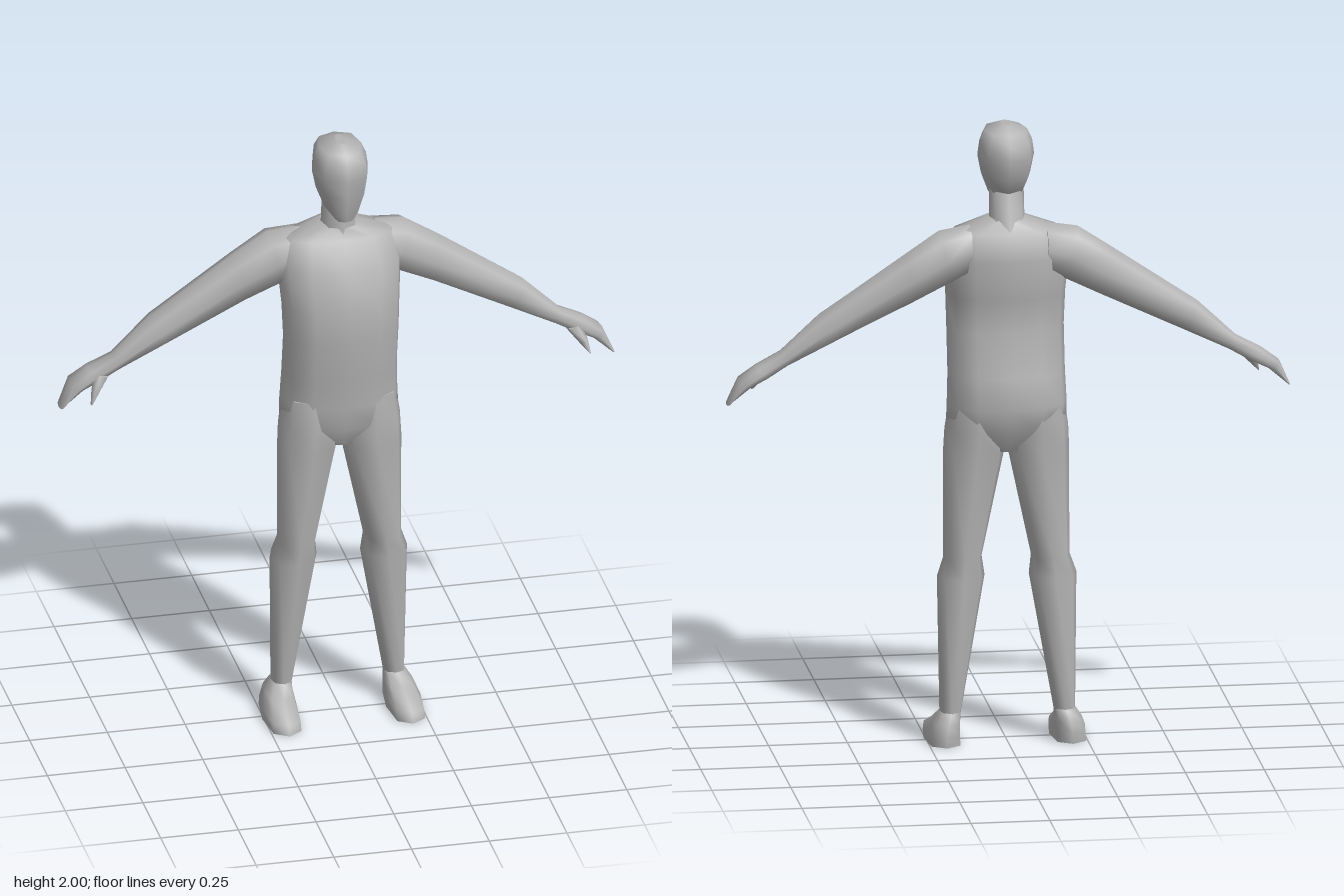
import * as THREE from 'three';

const skin = new THREE.MeshStandardMaterial({ color: 0xb4b4b4 });
skin.name = 'plain grey';
const V = (x, y, z) => new THREE.Vector3(x, y, z);

// Closed loop of n points around a centre; power below 1 makes it squarer
function ring(c, u, v, n, power) {
  return Array.from({ length: n }, (_, i) => {
    const a = (i / n) * Math.PI * 2;
    const bulge = (t) => (Math.abs(t) < 1e-6 ? 0 : Math.sign(t) * Math.abs(t) ** power);
    return c.clone().addScaledVector(u, bulge(Math.cos(a))).addScaledVector(v, bulge(Math.sin(a)));
  });
}

// Horizontal loop from [y, xMin, xMax, zBack, zFront]
const level = (n, power) => ([y, x0, x1, z0, z1]) =>
  ring(V((x0 + x1) / 2, y, (z0 + z1) / 2), V((x1 - x0) / 2, 0, 0), V(0, 0, -(z1 - z0) / 2), n, power);

// Symmetric horizontal loop from [y, halfWidth, zBack, zFront]
const centred = (n, power) => ([y, w, z0, z1]) => level(n, power)([y, -w, w, z0, z1]);

// Sloping limb loop from [topX, topY, bottomX, bottomY, zBack, zFront]
const sloped = (n, power) => ([tx, ty, bx, by, z0, z1]) =>
  ring(V((tx + bx) / 2, (ty + by) / 2, (z0 + z1) / 2), V((tx - bx) / 2, (ty - by) / 2, 0), V(0, 0, (z1 - z0) / 2), n, power);

// Smooth skin over the loops with a flat cap at each end; side -1 mirrors in x
function loft(name, loops, side = 1) {
  const rings = loops.map((r) => {
    const m = r.map((p) => V(p.x * side, p.y, p.z));
    return side < 0 ? m.reverse() : m;
  });
  const n = rings[0].length;
  const pts = rings.flat();
  const index = [];
  for (let r = 0; r < rings.length - 1; r++) {
    for (let i = 0; i < n; i++) {
      const a = r * n + i, b = r * n + ((i + 1) % n);
      index.push(a, b, a + n, b, b + n, a + n);
    }
  }
  [rings[0], rings[rings.length - 1]].forEach((end, k) => {
    const base = pts.length;
    pts.push(...end);
    for (let i = 1; i < n - 1; i++) {
      if (k) index.push(base, base + i, base + i + 1);
      else index.push(base, base + i + 1, base + i);
    }
  });
  const geo = new THREE.BufferGeometry().setFromPoints(pts);
  geo.setIndex(index);
  geo.computeVertexNormals();
  const mesh = new THREE.Mesh(geo, skin);
  mesh.name = name;
  return mesh;
}

export function createModel() {
  const model = new THREE.Group();
  model.name = 'figure';

  // Torso from crotch to base of neck
  model.add(loft('torso', [
    [0.95, 0.06, -0.09, 0.05],
    [1.02, 0.192, -0.13, 0.085],
    [1.1, 0.19, -0.155, 0.093],
    [1.2, 0.186, -0.145, 0.105],
    [1.34, 0.186, -0.115, 0.125],
    [1.45, 0.19, -0.125, 0.125],
    [1.58, 0.2, -0.15, 0.1],
    [1.665, 0.18, -0.12, 0.045],
    [1.705, 0.056, -0.1, 0.035],
  ].map(centred(12, 0.85))));

  // Neck
  model.add(loft('neck', [
    [1.6, 0.09, -0.14, 0.05],
    [1.7, 0.056, -0.108, 0.038],
    [1.8, 0.055, -0.08, 0.035],
  ].map(centred(8, 0.85))));

  // Head from chin to crown
  model.add(loft('head', [
    [1.75, 0.028, 0.02, 0.082],
    [1.775, 0.053, -0.075, 0.09],
    [1.84, 0.078, -0.118, 0.102],
    [1.9, 0.09, -0.124, 0.105],
    [1.945, 0.084, -0.124, 0.105],
    [1.98, 0.068, -0.1, 0.08],
    [2.0, 0.015, -0.04, 0.03],
  ].map(centred(8, 0.8))));

  for (const side of [1, -1]) {
    const label = side > 0 ? 'left' : 'right';

    // Arm and hand in one skin
    model.add(loft(label + 'Arm', [
      [0.12, 1.685, 0.12, 1.53, -0.13, 0.03],
      [0.22, 1.672, 0.185, 1.5, -0.15, 0.025],
      [0.33, 1.6, 0.3, 1.445, -0.143, 0.005],
      [0.6, 1.415, 0.55, 1.325, -0.125, -0.005],
      [0.72, 1.3, 0.7, 1.252, -0.1, -0.022],
      [0.8, 1.258, 0.765, 1.215, -0.115, -0.02],
      [0.857, 1.215, 0.817, 1.193, -0.123, -0.015],
      [0.893, 1.132, 0.875, 1.145, -0.095, -0.03],
    ].map(sloped(8, 0.85)), side));

    // Thumb
    model.add(loft(label + 'Thumb', [
      [0.78, 1.25, 0.735, 1.235, -0.07, -0.015],
      [0.798, 1.205, 0.77, 1.195, -0.035, 0.005],
      [0.805, 1.162, 0.798, 1.165, -0.005, 0.014],
    ].map(sloped(6, 1)), side));

    // Leg, listed from ankle to hip
    model.add(loft(label + 'Leg', [
      [0.06, 0.15, 0.218, -0.095, 0.005],
      [0.1, 0.147, 0.215, -0.09, 0],
      [0.54, 0.07, 0.221, -0.113, 0.05],
      [0.6, 0.078, 0.2, -0.097, 0.054],
      [0.94, 0.006, 0.2, -0.115, 0.078],
      [1.02, 0.002, 0.196, -0.13, 0.084],
      [1.12, 0.02, 0.18, -0.13, 0.08],
    ].map(level(8, 0.85)), side));

    // Foot, listed from sole to ankle
    model.add(loft(label + 'Foot', [
      [0, 0.142, 0.256, -0.115, 0.156],
      [0.03, 0.143, 0.254, -0.115, 0.145],
      [0.07, 0.147, 0.238, -0.11, 0.045],
      [0.105, 0.148, 0.215, -0.09, 0],
    ].map(level(8, 0.7)), side));
  }
  return model;
}
